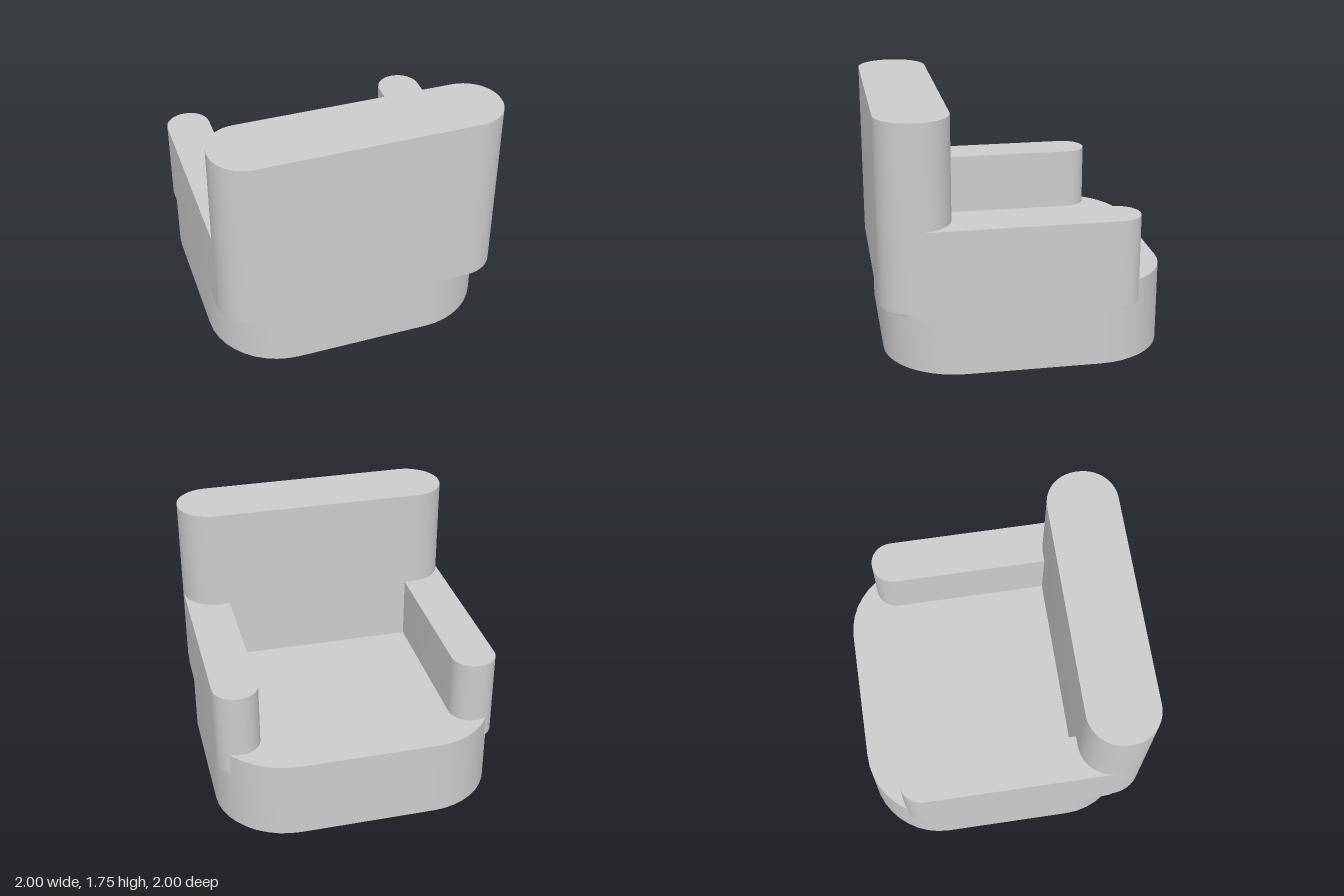
import * as THREE from 'three';
import { toCreasedNormals } from 'three/addons/utils/BufferGeometryUtils.js';

// Upright slab with rounded vertical corners, given by its extents
function roundedSlab(name, material, [x0, x1], [y0, y1], [z0, z1], radius) {
  const w = (x1 - x0) / 2 - radius;
  const d = (z1 - z0) / 2 - radius;
  const q = Math.PI / 2;
  const outline = new THREE.Shape();
  [[w, d], [-w, d], [-w, -d], [w, -d]].forEach(([x, y], i) => {
    outline.absarc(x, y, radius, i * q, (i + 1) * q, false);
  });
  const extruded = new THREE.ExtrudeGeometry(outline, {
    depth: y1 - y0, bevelEnabled: false, curveSegments: 5,
  });
  extruded.rotateX(-q);
  extruded.translate((x0 + x1) / 2, y0, (z0 + z1) / 2);
  const mesh = new THREE.Mesh(toCreasedNormals(extruded, 0.6), material);
  mesh.name = name;
  return mesh;
}

export function createModel() {
  const chair = new THREE.Group();
  chair.name = 'armchair';
  const upholstery = new THREE.MeshStandardMaterial({ color: 0xcccccc });
  upholstery.name = 'light grey upholstery';

  // Solid seat block with broad rounded corners
  chair.add(roundedSlab('seat', upholstery, [-1, 1], [0, 0.57], [-1, 0.96], 0.52));

  // Tall backrest overhanging the seat
  chair.add(roundedSlab('backrest', upholstery, [-1, 1], [0.46, 1.75], [0.5, 1], 0.24));

  // Armrests with rounded ends
  chair.add(roundedSlab('leftArmrest', upholstery, [0.685, 1], [0.415, 1.025], [-0.775, 0.865], 0.155));
  chair.add(roundedSlab('rightArmrest', upholstery, [-1, -0.685], [0.415, 1.025], [-0.775, 0.865], 0.155));

  return chair;
}
